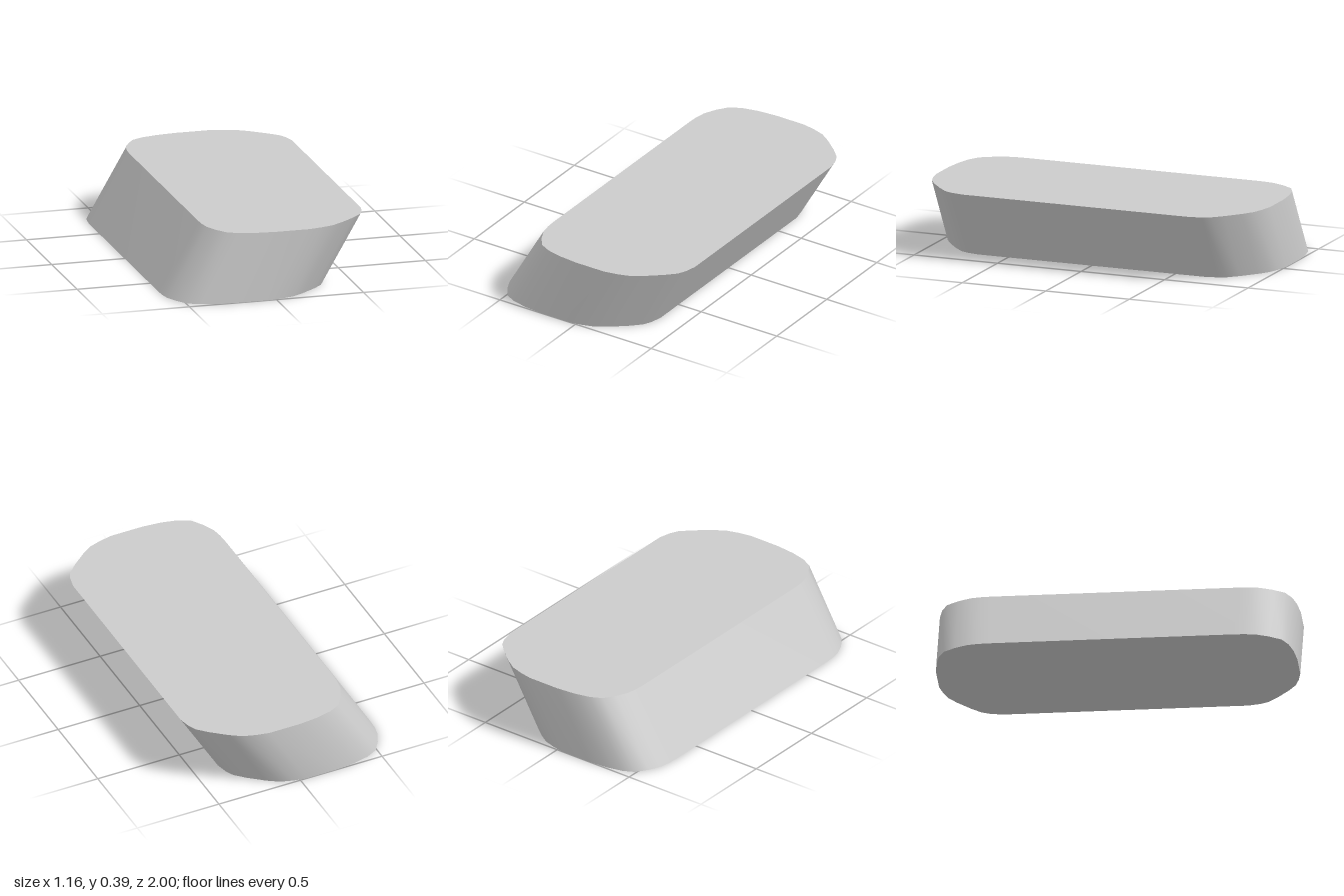
import * as THREE from 'three';
import { toCreasedNormals } from 'three/addons/utils/BufferGeometryUtils.js';

const HEIGHT = 0.39;
const LEAN = 0.227;

// Half of the top outline (x, z), running from the right side to the left side
const HALF = [
  [-0.355, 0.68], [-0.352, 0.74], [-0.342, 0.8], [-0.31, 0.87], [-0.265, 0.935],
  [-0.2, 0.968], [-0.11, 0.989], [0, 1], [0.19, 1], [0.265, 0.985], [0.335, 0.963],
  [0.4, 0.92], [0.485, 0.85], [0.54, 0.795], [0.562, 0.75], [0.578, 0.68],
];

export function createModel() {
  const group = new THREE.Group();
  group.name = 'slantedBlock';

  // Mirror the half outline to close the rounded slab shape
  const mirrored = HALF.map(([x, z]) => [x, -z]).reverse();
  const outline = [...HALF, ...mirrored].map(([x, z]) => new THREE.Vector2(x, z));

  const slab = new THREE.ExtrudeGeometry(new THREE.Shape(outline), {
    depth: HEIGHT, bevelEnabled: false,
  });
  slab.rotateX(-Math.PI / 2);

  // Lean the slab sideways: the base slides towards -x
  const pos = slab.attributes.position;
  for (let i = 0; i < pos.count; i++) {
    pos.setX(i, pos.getX(i) + LEAN * (pos.getY(i) / HEIGHT - 1));
  }

  // Smooth rounded walls, sharp rims
  const body = new THREE.Mesh(
    toCreasedNormals(slab, 0.6),
    new THREE.MeshStandardMaterial({ color: 0xcccccc }),
  );
  body.name = 'body';
  group.add(body);
  return group;
}
